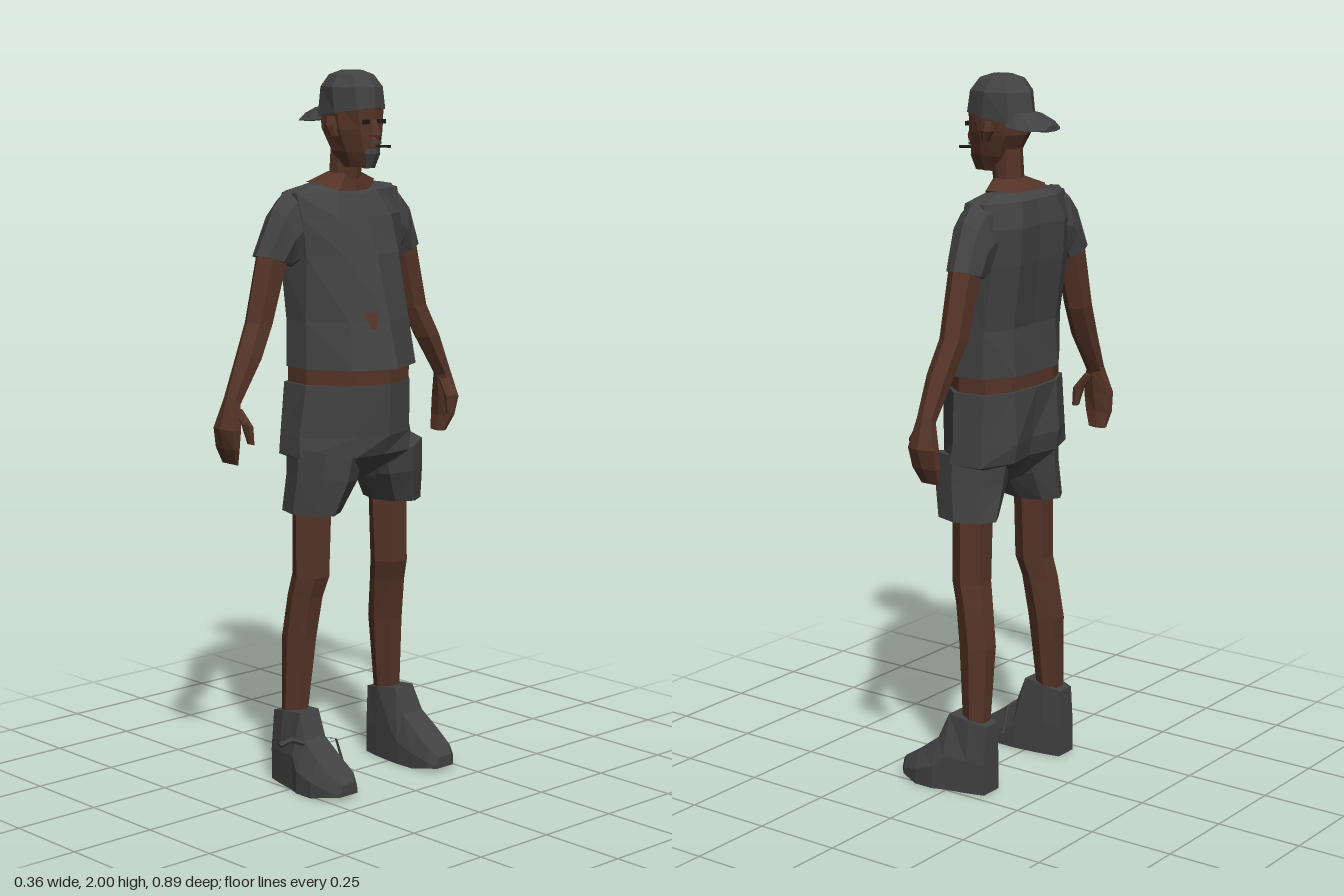
import * as THREE from 'three';

const paint = (name, color) => Object.assign(new THREE.MeshStandardMaterial({ color }), { name });

// Skin a list of equal-length rings of [x, y, z], capped at both ends, with flat faces
function loft(rings) {
  const tris = [];
  const n = rings[0].length;
  const middle = (r) => [0, 1, 2].map((k) => r.reduce((sum, p) => sum + p[k], 0) / n);
  const first = rings[0], last = rings[rings.length - 1];
  const c0 = middle(first), c1 = middle(last);
  for (let j = 0; j < n; j++) {
    const k = (j + 1) % n;
    for (let i = 0; i < rings.length - 1; i++) {
      const a = rings[i][j], b = rings[i][k], c = rings[i + 1][k], d = rings[i + 1][j];
      tris.push([a, b, c], [a, c, d]);
    }
    tris.push([c0, first[k], first[j]], [c1, last[j], last[k]]);
  }
  // Turn the faces outwards whichever way the rings run
  const volume = tris.reduce((sum, [a, b, c]) => sum
    + a[0] * (b[1] * c[2] - b[2] * c[1])
    + a[1] * (b[2] * c[0] - b[0] * c[2])
    + a[2] * (b[0] * c[1] - b[1] * c[0]), 0);
  if (volume < 0) tris.forEach((t) => t.reverse());
  const geometry = new THREE.BufferGeometry();
  geometry.setAttribute('position', new THREE.Float32BufferAttribute(tris.flat(2), 3));
  geometry.computeVertexNormals();
  return geometry;
}

// Symmetric form: each row is a height, then half an outline of [x, z, lift] from front to back
function body(rows) {
  return loft(rows.map(([y, ...half]) => {
    const left = half.map(([x, z, lift = 0]) => [x, y + lift, z]);
    const right = left.slice(1, -1).reverse().map(([x, h, z]) => [x, h, -z]);
    return [...left, ...right];
  }));
}

// Limb: each row is the outer z, y, the inner z, y, the centre x and the half depth
function limb(rows, side, sides = 6) {
  return loft(rows.map(([za, ya, zb, yb, x, r]) => Array.from({ length: sides }, (_, i) => {
    const a = (i / sides) * Math.PI * 2;
    const c = Math.cos(a) / 2;
    return [x + Math.sin(a) * r, (ya + yb) / 2 + (ya - yb) * c, side * ((za + zb) / 2 + (za - zb) * c)];
  })));
}

export function createModel() {
  const model = new THREE.Group();
  model.name = 'man';
  const cloth = paint('charcoal cloth', 0x424242);
  const skin = paint('brown skin', 0x553427);
  const dark = paint('black detail', 0x1c1a19);
  const add = (name, geometry, material) => {
    const mesh = new THREE.Mesh(geometry, material);
    mesh.name = name;
    model.add(mesh);
    return mesh;
  };
  const box = (name, size, at, material) => {
    const mesh = add(name, new THREE.BoxGeometry(...size), material);
    mesh.position.set(...at);
    return mesh;
  };

  // Shirt, wide at the hem with a ridge down the chest
  add('shirt', body([
    [1.19, [0.175, 0], [0.12, 0.12], [0.01, 0.19], [-0.08, 0.185], [-0.135, 0.1], [-0.14, 0]],
    [1.32, [0.14, 0], [0.1, 0.11], [0, 0.185], [-0.085, 0.18], [-0.125, 0.1], [-0.12, 0]],
    [1.5, [0.09, 0], [0.07, 0.1], [0, 0.18], [-0.11, 0.18], [-0.15, 0.1], [-0.14, 0]],
    [1.6, [0.045, 0], [0.04, 0.1], [-0.01, 0.185], [-0.11, 0.185], [-0.155, 0.1], [-0.145, 0]],
    [1.66, [0.015, 0], [0.01, 0.07, 0.01], [-0.03, 0.19, 0.01], [-0.09, 0.19, 0.01], [-0.14, 0.08, 0.01], [-0.135, 0, 0.01]],
    [1.69, [0, 0, -0.025], [-0.005, 0.06, -0.015], [-0.04, 0.11], [-0.08, 0.11], [-0.11, 0.07], [-0.115, 0]],
  ]), cloth);

  // Small hole in the shirt showing skin
  const hole = new THREE.BufferGeometry().setFromPoints([
    [0.113, 1.345, 0.075], [0.13, 1.3, 0.058], [0.135, 1.3, 0.045],
    [0.113, 1.345, 0.075], [0.135, 1.3, 0.045], [0.127, 1.345, 0.035],
  ].map((p) => new THREE.Vector3(...p)));
  hole.computeVertexNormals();
  add('shirtHole', hole, skin);

  // Bare neckline, neck and waist
  add('neckline', body([
    [1.67, [0.004, 0], [-0.002, 0.06], [-0.04, 0.11, 0.025], [-0.08, 0.11, 0.025], [-0.112, 0.07, 0.02], [-0.115, 0, 0.02]],
    [1.72, [0, 0], [-0.005, 0.025], [-0.03, 0.045], [-0.06, 0.045], [-0.085, 0.025], [-0.09, 0]],
  ]), skin);
  add('neck', body([
    [1.7, [0.005, 0], [-0.005, 0.025], [-0.03, 0.043], [-0.06, 0.043], [-0.08, 0]],
    [1.8, [0.02, 0], [0.01, 0.025], [-0.02, 0.04], [-0.055, 0.04], [-0.075, 0]],
  ]), skin);
  add('waist', body([1.1, 1.2].map((y) => [y,
    [0.142, 0], [0.113, 0.1], [0, 0.182], [-0.085, 0.175], [-0.12, 0.1], [-0.125, 0]])), skin);

  // Seat of the shorts
  add('shorts', body([
    [1.145, [0.144, 0], [0.117, 0.1], [0.01, 0.192], [-0.09, 0.185], [-0.13, 0.1], [-0.135, 0]],
    [1, [0.14, 0], [0.115, 0.1], [0, 0.21], [-0.09, 0.2], [-0.14, 0.1], [-0.12, 0]],
    [0.945, [0.12, 0], [0.115, 0.1], [0.01, 0.214], [-0.09, 0.205], [-0.13, 0.1], [-0.11, 0]],
    [0.87, [0.04, 0], [0.05, 0.03], [0.02, 0.04], [-0.03, 0.04], [-0.06, 0.03], [-0.06, 0]],
  ]), cloth);

  // Head, nose, brow and beard
  add('head', body([
    [1.737, [0.065, 0], [0.06, 0.018], [0.02, 0.034], [-0.02, 0.03], [-0.03, 0]],
    [1.78, [0.08, 0], [0.068, 0.03], [0.02, 0.052], [-0.04, 0.05], [-0.06, 0]],
    [1.84, [0.078, 0], [0.066, 0.042], [0.01, 0.068], [-0.07, 0.06], [-0.095, 0]],
    [1.91, [0.078, 0], [0.065, 0.047], [0, 0.07], [-0.08, 0.06], [-0.11, 0]],
  ]), skin);
  add('nose', body([
    [1.812, [0.095, 0], [0.088, 0.016], [0.07, 0.018], [0.06, 0]],
    [1.826, [0.103, 0], [0.085, 0.015], [0.07, 0.016], [0.06, 0]],
    [1.868, [0.085, 0], [0.077, 0.009], [0.07, 0.01], [0.06, 0]],
  ]), skin);
  add('beard', body([
    [1.735, [0.068, 0], [0.062, 0.017], [0.05, 0.02], [0.04, 0]],
    [1.775, [0.085, 0], [0.073, 0.027], [0.05, 0.03], [0.04, 0]],
    [1.788, [0.083, 0], [0.073, 0.022], [0.05, 0.03], [0.04, 0]],
  ]), cloth);
  box('moustache', [0.009, 0.008, 0.04], [0.08, 1.805, 0], cloth);
  const cigarette = add('cigarette', new THREE.CylinderGeometry(0.004, 0.004, 0.04, 5), dark);
  cigarette.position.set(0.092, 1.795, -0.022);
  cigarette.rotation.set(0, 0.45, Math.PI / 2);

  // Cap worn backwards, with the brim drooping behind
  add('cap', body([
    [1.885, [0.083, 0, 0.015], [0.066, 0.052, 0.01], [0, 0.077], [-0.08, 0.066, -0.01], [-0.12, 0, -0.015]],
    [1.955, [0.078, 0], [0.055, 0.053], [-0.01, 0.076], [-0.075, 0.06], [-0.11, 0]],
    [1.988, [0.055, 0], [0.035, 0.038], [-0.015, 0.052], [-0.06, 0.042], [-0.085, 0]],
    [2, [0.015, 0], [0.01, 0.018], [-0.015, 0.025], [-0.035, 0.02], [-0.045, 0]],
  ]), cloth);
  const brim = [[-0.07, 0.066, 1.91, 1.865], [-0.115, 0.073, 1.902, 1.86], [-0.16, 0.068, 1.885, 1.858], [-0.182, 0.035, 1.872, 1.858]];
  add('capBrim', loft(brim.map(([x, w, top, low]) => [
    [x, low, w], [x, top - 0.006, w * 0.6], [x, top, 0], [x, top - 0.006, -w * 0.6],
    [x, low, -w], [x, top - 0.018, -w * 0.55], [x, top - 0.018, w * 0.55],
  ])), cloth);

  for (const side of [1, -1]) {
    const name = (part) => (side > 0 ? 'right' : 'left') + part;

    // Eye and ear
    const eye = box(name('Eye'), [0.008, 0.012, 0.03], [0.074, 1.862, side * 0.027], dark);
    eye.rotation.y = side * 0.3;
    add(name('Ear'), limb([
      [0.08, 1.822, 0.055, 1.822, -0.008, 0.01],
      [0.091, 1.852, 0.055, 1.85, -0.018, 0.02],
      [0.086, 1.876, 0.055, 1.876, -0.02, 0.014],
    ], side), skin);

    // Sleeve, arm, hand and thumb
    add(name('Sleeve'), limb([
      [0.15, 1.685, 0.14, 1.46, -0.07, 0.05],
      [0.2, 1.677, 0.17, 1.46, -0.065, 0.06],
      [0.243, 1.63, 0.18, 1.465, -0.065, 0.058],
      [0.3, 1.505, 0.185, 1.47, -0.072, 0.05],
    ], side, 8), cloth);
    add(name('Arm'), limb([
      [0.29, 1.53, 0.19, 1.5, -0.07, 0.042],
      [0.338, 1.325, 0.25, 1.315, -0.07, 0.037],
      [0.38, 1.235, 0.3, 1.225, -0.06, 0.036],
      [0.42, 1.13, 0.382, 1.105, -0.058, 0.028],
    ], side), skin);
    add(name('Hand'), limb([
      [0.42, 1.13, 0.382, 1.105, -0.058, 0.028],
      [0.445, 1.045, 0.39, 1.04, -0.06, 0.048],
      [0.43, 0.99, 0.395, 0.985, -0.065, 0.046],
      [0.408, 0.945, 0.39, 0.94, -0.07, 0.032],
    ], side), skin);
    add(name('Thumb'), limb([
      [0.415, 1.105, 0.38, 1.095, -0.045, 0.018],
      [0.405, 1.06, 0.372, 1.05, -0.01, 0.018],
      [0.39, 1.005, 0.372, 1, -0.004, 0.011],
    ], side), skin);

    // Shorts leg and bare leg
    add(name('ShortsLeg'), limb([
      [0.212, 0.97, 0.02, 0.93, 0, 0.115],
      [0.217, 0.89, 0.035, 0.87, 0, 0.108],
      [0.225, 0.785, 0.085, 0.785, -0.012, 0.095],
    ], side, 8), cloth);
    add(name('Leg'), limb([
      [0.205, 0.82, 0.085, 0.82, -0.02, 0.055],
      [0.205, 0.6, 0.097, 0.6, -0.02, 0.055],
      [0.208, 0.54, 0.11, 0.54, -0.035, 0.053],
      [0.212, 0.42, 0.122, 0.42, -0.052, 0.054],
      [0.216, 0.19, 0.145, 0.19, -0.058, 0.04],
    ], side), skin);

    // High shoe, built heel to toe: x, inner and outer z, height, top inner and outer z
    const shoe = [
      [-0.112, 0.15, 0.22, 0.2, 0.155, 0.21],
      [-0.06, 0.14, 0.235, 0.212, 0.143, 0.222],
      [0.01, 0.132, 0.25, 0.218, 0.15, 0.22],
      [0.04, 0.13, 0.262, 0.145, 0.152, 0.23],
      [0.1, 0.132, 0.262, 0.1, 0.15, 0.235],
      [0.155, 0.138, 0.245, 0.065, 0.15, 0.23],
      [0.178, 0.155, 0.22, 0.045, 0.165, 0.212],
    ];
    add(name('Shoe'), loft(shoe.map(([x, zi, zo, h, ti, to], i) => [
      [x, i > 4 ? 0.012 : 0, zi], [x, i > 4 ? 0.012 : 0, zo], [x, h * 0.45, zo],
      [x, h, to], [x, h, ti], [x, h * 0.45, zi],
    ].map(([px, y, z]) => [px, y, side * z]))), cloth);
  }

  // Loose laces on one shoe
  add('outerLace', limb([
    [0.225, 0.142, 0.225, 0.128, 0.04, 0.005],
    [0.275, 0.165, 0.272, 0.148, 0.035, 0.005],
    [0.308, 0.152, 0.3, 0.135, 0.02, 0.005],
  ], 1, 4), cloth);
  add('innerLace', limb([
    [0.155, 0.14, 0.145, 0.14, 0.045, 0.004],
    [0.125, 0.135, 0.115, 0.13, 0.05, 0.004],
    [0.098, 0.055, 0.088, 0.055, 0.05, 0.004],
  ], 1, 4), cloth);
  return model;
}
